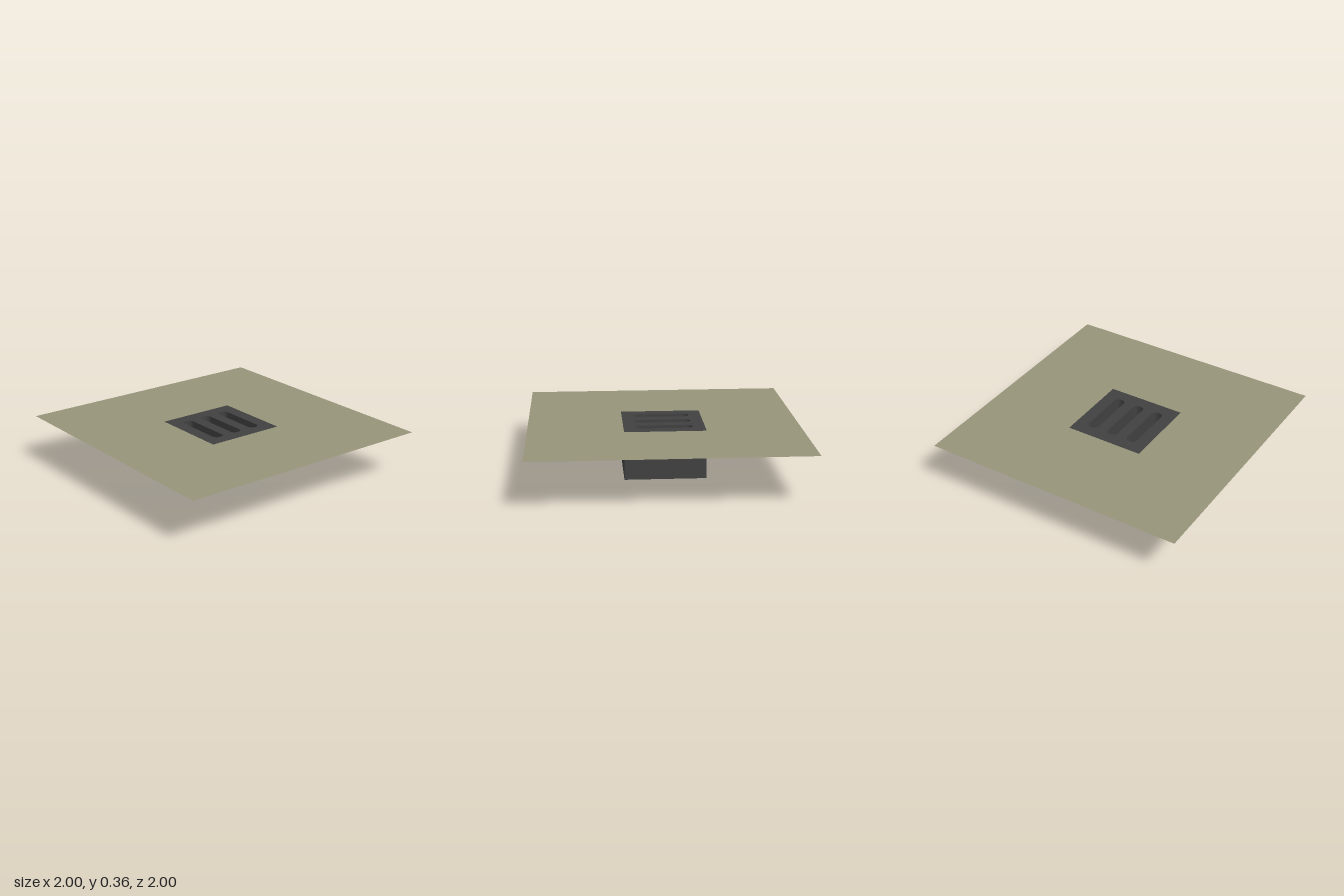
import * as THREE from 'three';

const TOP = 0.36, HALF = 0.3, FLOOR = 0.02;

// Rectangle with optional rounded corners, centred on (cx, 0)
function rectPath(path, cx, w, h, r = 0) {
  const x = w / 2, y = h / 2;
  if (r === 0) {
    path.moveTo(cx - x, -y).lineTo(cx + x, -y).lineTo(cx + x, y).lineTo(cx - x, y).closePath();
    return path;
  }
  path.moveTo(cx - x + r, -y);
  path.lineTo(cx + x - r, -y);
  path.absarc(cx + x - r, -y + r, r, -Math.PI / 2, 0);
  path.lineTo(cx + x, y - r);
  path.absarc(cx + x - r, y - r, r, 0, Math.PI / 2);
  path.lineTo(cx - x + r, y);
  path.absarc(cx - x + r, y - r, r, Math.PI / 2, Math.PI);
  path.lineTo(cx - x, -y + r);
  path.absarc(cx - x + r, -y + r, r, Math.PI, Math.PI * 1.5);
  return path;
}

export function createModel() {
  const model = new THREE.Group();
  model.name = 'floorDrain';

  const ground = new THREE.MeshStandardMaterial({ color: 0x97947a, side: THREE.DoubleSide });
  ground.name = 'olive ground';
  const iron = new THREE.MeshStandardMaterial({ color: 0x414141 });
  iron.name = 'dark iron';

  const add = (name, geometry, material, y) => {
    const mesh = new THREE.Mesh(geometry, material);
    mesh.name = name;
    mesh.position.y = y;
    model.add(mesh);
  };

  // Thin ground sheet with a square opening for the drain
  const sheet = rectPath(new THREE.Shape(), 0, 2, 2);
  sheet.holes.push(rectPath(new THREE.Path(), 0, HALF * 2, HALF * 2));
  add('groundSheet', new THREE.ShapeGeometry(sheet).rotateX(-Math.PI / 2), ground, TOP);

  // Drain block with three rounded slots
  const block = rectPath(new THREE.Shape(), 0, HALF * 2, HALF * 2);
  for (const x of [-0.165, 0, 0.165]) {
    block.holes.push(rectPath(new THREE.Path(), x, 0.082, 0.415, 0.036));
  }
  const slotted = new THREE.ExtrudeGeometry(block, {
    depth: TOP - FLOOR, bevelEnabled: false, curveSegments: 6,
  }).rotateX(-Math.PI / 2);
  add('drainGrate', slotted, iron, FLOOR);

  // Closed bottom of the drain
  add('drainFloor', new THREE.BoxGeometry(HALF * 2, FLOOR, HALF * 2), iron, FLOOR / 2);

  return model;
}
